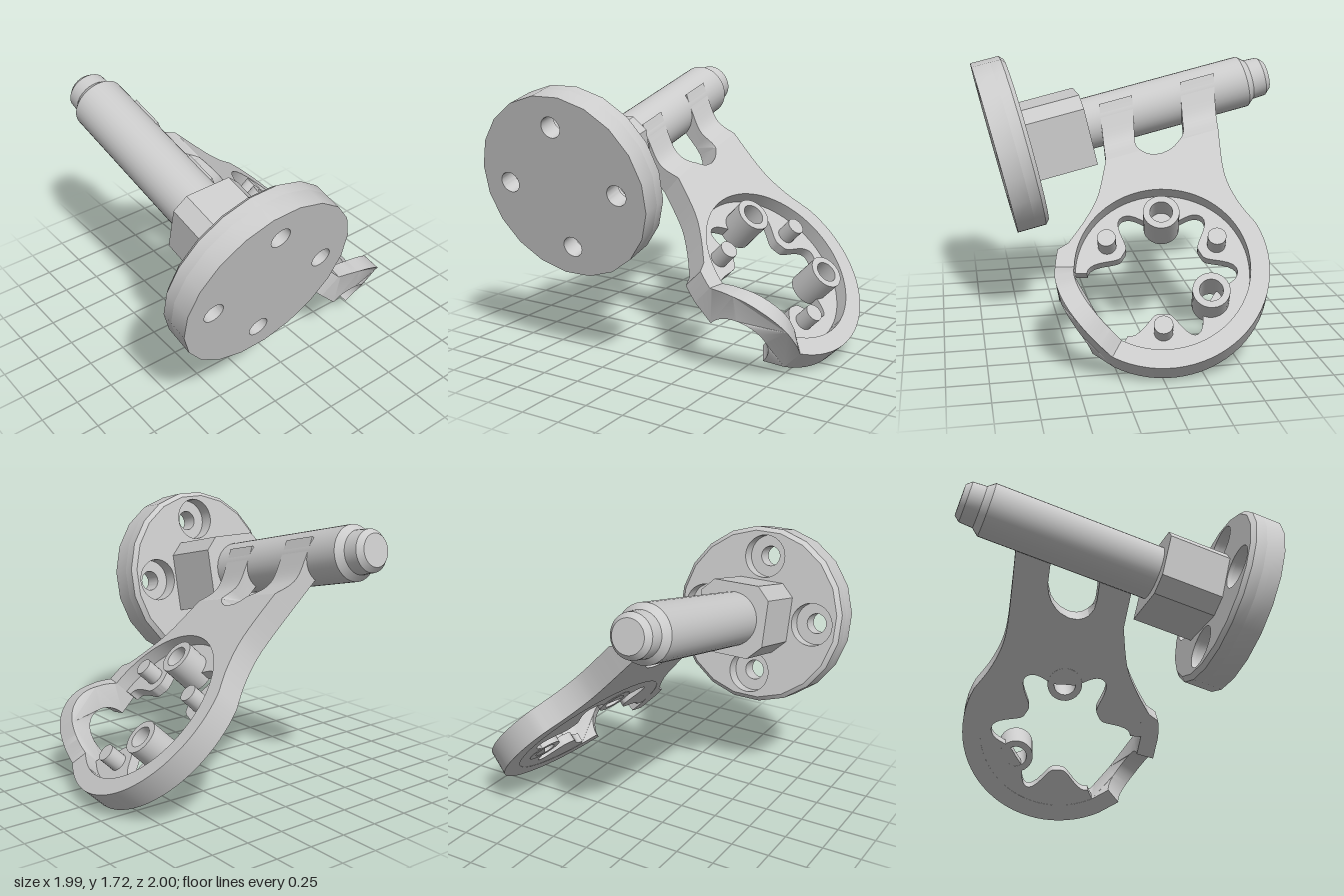
import * as THREE from 'three';
import { toCreasedNormals } from 'three/addons/utils/BufferGeometryUtils.js';

const material = new THREE.MeshStandardMaterial({ color: 0xcccccc, side: THREE.DoubleSide });
const V2 = (x, y) => new THREE.Vector2(x, y);
const deg = Math.PI / 180;

function add(parent, name, geometry) {
  const mesh = new THREE.Mesh(toCreasedNormals(geometry, 0.6), material);
  mesh.name = name;
  parent.add(mesh);
  return mesh;
}

// Extrude a shape between two heights along local z.
function slab(shape, z0, z1) {
  const geo = new THREE.ExtrudeGeometry(shape, { depth: z1 - z0, bevelEnabled: false, curveSegments: 20 });
  return geo.translate(0, 0, z0);
}

// Lathe about local z; dir = 1 runs towards +z, -1 towards -z.
function turned(profile, dir, segments) {
  const geo = new THREE.LatheGeometry(profile.map(([r, h]) => V2(r, h)), segments);
  return geo.rotateX(dir * Math.PI / 2);
}

function frame(name, origin, x, y, z) {
  const group = new THREE.Group();
  group.name = name;
  group.applyMatrix4(new THREE.Matrix4().makeBasis(x, y, z).setPosition(origin));
  return group;
}

// Points on a polar curve about a centre, angles in degrees.
function polar(centre, radiusAt, from, to, steps) {
  return Array.from({ length: steps + 1 }, (_, i) => {
    const a = (from + (to - from) * i / steps) * deg, r = radiusAt(a);
    return V2(centre.x + r * Math.cos(a), centre.y + r * Math.sin(a));
  });
}

// Twenty-sided plate with four holes on a bolt circle.
function drilledDisc(radius, holeRadius) {
  const shape = new THREE.Shape(polar(V2(0, 0), () => radius, 9, 351, 19));
  for (let i = 0; i < 4; i++) {
    const a = i * Math.PI / 2;
    shape.holes.push(new THREE.Path().absarc(0.385 * Math.cos(a), 0.385 * Math.sin(a), holeRadius, 0, Math.PI * 2, true));
  }
  return shape;
}

// Open ring of the arm: centre, radii, pin and boss angles, and the bridged gap.
const RING = V2(1.215, -0.235), OUTER = 0.645, INNER = 0.53;
const PINS = [102, 224, 343], BOSSES = [163, 40];
const GAP = 284, GAP_HALF = 31.5, BRIDGE_R = 0.6;
const BOTTOM = -0.015, TOP = 0.15;

// Inner edge of the recessed floor, with a lobe under each pin and boss.
function floorInner(a) {
  const lobe = (centre, width) => {
    const d = Math.atan2(Math.sin(a - centre * deg), Math.cos(a - centre * deg));
    return Math.exp(-((d / width) ** 4));
  };
  let r = 0.46;
  for (const p of PINS) r -= 0.19 * lobe(p, 0.33);
  for (const b of BOSSES) r -= 0.12 * lobe(b, 0.4);
  return r;
}

// U notch between the two pads: centre line and half width along the arm.
const PAD_END = 0.4;
const notchMid = u => 0.12 - 0.25 * u;
const notchHalf = u => u < 0.295 ? 0.165 : Math.sqrt(Math.max(0, 0.165 ** 2 - (u - 0.295) ** 2));
const neckLow = u => -0.27 - 0.19 * u;
const neckHigh = u => 0.52 - 0.27 * u;

// Pad with a hollowed top, its sides following the neck and the notch.
function padGeometry(low, high) {
  const profile = new THREE.Shape();
  profile.moveTo(PAD_END, BOTTOM);
  profile.lineTo(PAD_END, TOP);
  profile.splineThru([V2(0.3, 0.105), V2(0.22, 0.1), V2(0.1, 0.143), V2(0, 0.187)]);
  profile.lineTo(0, BOTTOM);
  profile.lineTo(0.29, BOTTOM);
  profile.lineTo(0.35, BOTTOM);
  const geo = slab(profile, 0, 1);
  const pos = geo.attributes.position;
  for (let i = 0; i < pos.count; i++) {
    const u = pos.getX(i), n = pos.getY(i), k = 1 - pos.getZ(i);
    pos.setXYZ(i, u, low(u) + (high(u) - low(u)) * k, n);
  }
  return geo;
}

// Arched bridge over the gap: a flat arch bent around the ring.
function bridgeGeometry() {
  const end = GAP_HALF * deg * BRIDGE_R;
  const arch = new THREE.Shape([V2(-end, BOTTOM), V2(-end, TOP)]);
  arch.splineThru([V2(-0.25, 0.225), V2(-0.13, 0.3), V2(0, 0.325), V2(0.13, 0.3), V2(0.25, 0.225), V2(end, TOP)]);
  arch.lineTo(end, BOTTOM);
  arch.lineTo(0.185, BOTTOM);
  arch.absarc(0, BOTTOM, 0.185, 0, Math.PI, false);
  const geo = slab(arch, INNER, OUTER);
  const pos = geo.attributes.position;
  for (let i = 0; i < pos.count; i++) {
    const a = GAP * deg + pos.getX(i) / BRIDGE_R, r = pos.getZ(i);
    pos.setXYZ(i, RING.x + r * Math.cos(a), RING.y + r * Math.sin(a), pos.getY(i));
  }
  return geo;
}

export function createModel() {
  const model = new THREE.Group();
  model.name = 'flangedShaftWithArm';

  // Shaft direction (towards the back) and the two frames built on it
  const axis = new THREE.Vector3(-0.0185, 0.228, -0.974).normalize();
  const front = axis.clone().negate();
  const side = new THREE.Vector3(1, 0, 0).addScaledVector(axis, -axis.x).normalize();
  const up = front.clone().cross(side);
  const base = new THREE.Vector3(-0.425, 1.117, 0.87);
  const shaft = frame('shaftAssembly', base, side, up, front);

  // Flange: small holes in front, wide counterbores behind, chamfered rim
  add(shaft, 'flangeFront', slab(drilledDisc(0.578, 0.065), -0.12, 0));
  add(shaft, 'flangeBack', slab(drilledDisc(0.578, 0.138), -0.19, -0.12));
  add(shaft, 'flangeBackFace', slab(drilledDisc(0.55, 0.138), -0.216, -0.19));
  const chamfer = add(shaft, 'flangeChamfer', turned([[0.578, 0.19], [0.55, 0.216]], -1, 20));
  chamfer.rotation.z = 9 * deg;

  // Square collar with corners cut
  const collar = new THREE.Shape([
    V2(-0.14, -0.23), V2(0.23, -0.23), V2(0.23, 0.15), V2(0.15, 0.23), V2(-0.15, 0.23), V2(-0.23, 0.15), V2(-0.23, -0.14),
  ]);
  add(shaft, 'collar', slab(collar, -0.616, -0.2));

  // Round shaft with a stepped, chamfered tip
  add(shaft, 'shaft', turned([
    [0.172, 0.6], [0.172, 1.725], [0.135, 1.77], [0.13, 1.86], [0.1, 1.895], [0, 1.895],
  ], -1, 32));

  // Arm frame: x runs away from the shaft, y along it, z out of the plate
  const normal = new THREE.Vector3(0.7, 0.697, 0.15);
  normal.addScaledVector(axis, -normal.dot(axis)).normalize();
  const out = axis.clone().cross(normal);
  const arm = frame('arm', base.clone().add(axis), out, axis, normal);

  // Plate: neck and open ring, with the round end of the notch
  const plate = new THREE.Shape();
  plate.moveTo(PAD_END, neckLow(PAD_END));
  plate.splineThru([V2(0.63, -0.466), V2(0.77, -0.59), V2(0.89, -0.73)]);
  const gapStart = GAP - GAP_HALF, gapEnd = GAP + GAP_HALF - 360;
  const rim = [
    ...polar(RING, () => OUTER, 242, gapStart, 3),
    ...polar(RING, () => INNER, gapStart, gapEnd, 60),
    ...polar(RING, () => OUTER, gapEnd, 99, 30),
  ];
  for (const p of rim) plate.lineTo(p.x, p.y);
  plate.splineThru([V2(0.96, 0.355), V2(0.8, 0.335), V2(0.65, 0.35), V2(PAD_END, neckHigh(PAD_END))]);
  const notchEnd = [0.4, 0.43, 0.45, 0.46];
  for (const u of notchEnd) plate.lineTo(u, notchMid(u) + notchHalf(u));
  for (const u of notchEnd.slice(0, 3).reverse()) plate.lineTo(u, notchMid(u) - notchHalf(u));
  add(arm, 'armPlate', slab(plate, BOTTOM, TOP));
  add(arm, 'armBridge', bridgeGeometry());

  // Hollowed pads joining the plate to the shaft
  add(arm, 'shaftPad', padGeometry(neckLow, u => notchMid(u) - notchHalf(u)));
  add(arm, 'shaftPad', padGeometry(u => notchMid(u) + notchHalf(u), neckHigh));

  // Recessed floor with lobes
  const floor = new THREE.Shape([
    ...polar(RING, () => INNER + 0.01, gapEnd, gapStart, 60),
    ...polar(RING, floorInner, gapStart, gapEnd, 120),
  ]);
  add(arm, 'recessFloor', slab(floor, BOTTOM + 0.002, 0.055));

  // Hollow bosses and solid pins around the opening
  const place = (mesh, angle, r) =>
    mesh.position.set(RING.x + r * Math.cos(angle * deg), RING.y + r * Math.sin(angle * deg), 0);
  for (const b of BOSSES) {
    const tube = [[0.07, BOTTOM], [0.112, BOTTOM], [0.112, 0.205], [0.07, 0.205], [0.07, BOTTOM]];
    place(add(arm, 'boss', turned(tube, 1, 28)), b, 0.34);
  }
  for (const p of PINS) {
    place(add(arm, 'pin', turned([[0.057, 0], [0.057, 0.17], [0, 0.17]], 1, 20)), p, 0.385);
  }

  model.add(shaft, arm);
  return model;
}
